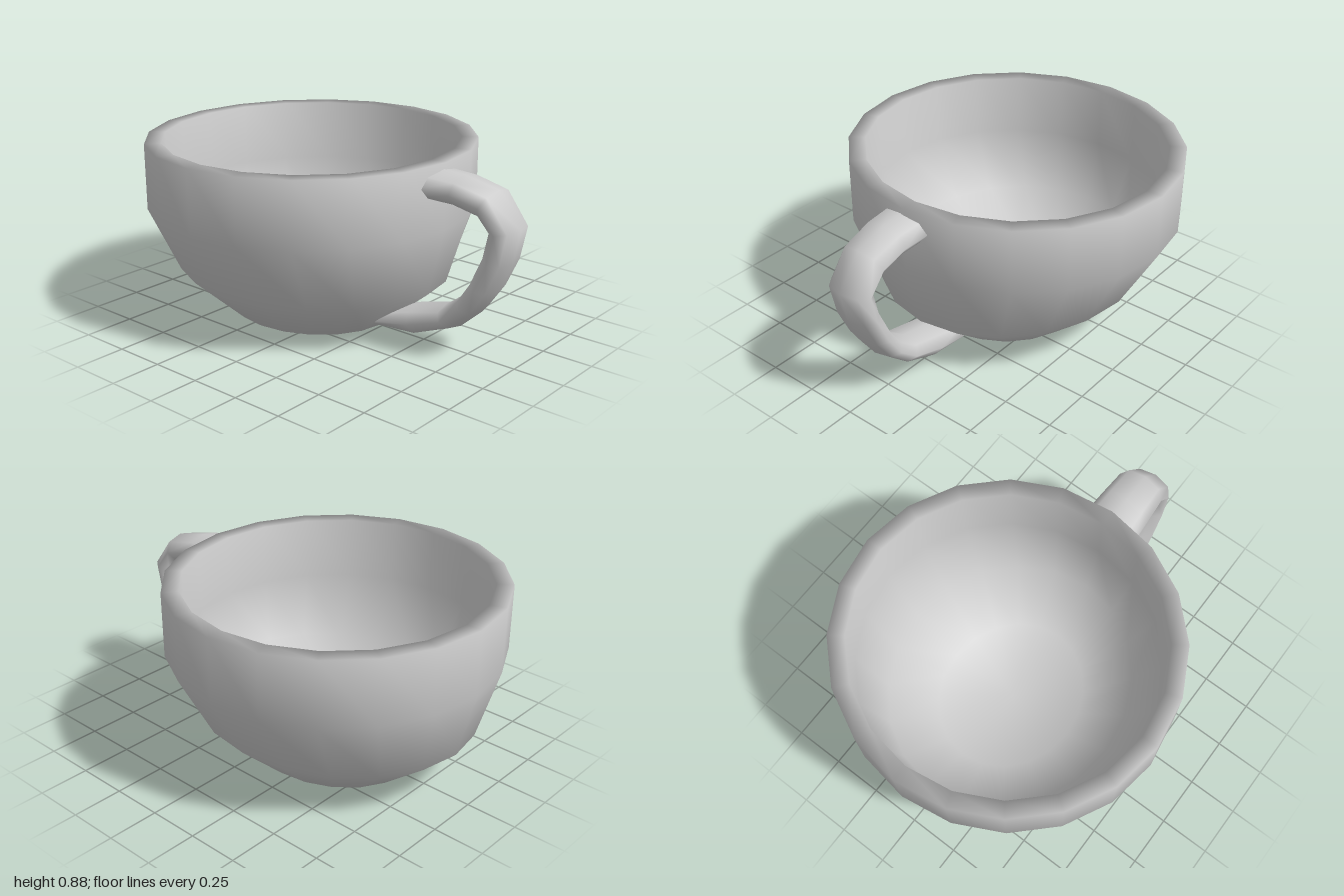
import * as THREE from 'three';
import { mergeVertices } from 'three/addons/utils/BufferGeometryUtils.js';

const material = new THREE.MeshStandardMaterial({ color: 0xcccccc });

// Weld the seam and shade smoothly all over
function smooth(geometry) {
  geometry.deleteAttribute('uv');
  geometry.deleteAttribute('normal');
  const welded = mergeVertices(geometry, 1e-4);
  welded.computeVertexNormals();
  return welded;
}

// Bowl: one turned profile, outside up, over the rim and down the inside
function createBowl() {
  const profile = [
    [0, 0], [0.435, 0], [0.715, 0.23], [0.8, 0.565], [0.8, 0.885],
    [0.72, 0.885], [0.72, 0.58], [0.645, 0.28], [0.4, 0.08], [0, 0.08],
  ].map(([r, y]) => new THREE.Vector2(r, y));
  const geometry = new THREE.LatheGeometry(profile, 20);

  // The lower part is narrower from front to back
  const pos = geometry.attributes.position;
  for (let i = 0; i < pos.count; i++) {
    const t = THREE.MathUtils.clamp((pos.getY(i) - 0.23) / 0.33, 0, 1);
    pos.setZ(i, pos.getZ(i) * THREE.MathUtils.lerp(0.885, 1.022, t));
  }
  const bowl = new THREE.Mesh(smooth(geometry), material);
  bowl.position.x = -0.2;
  bowl.name = 'bowl';
  return bowl;
}

// Handle: broad oval cross-sections spanned between an outer and an inner edge
function createHandle() {
  // outer x, outer y, inner x, inner y, half width, z offset
  const sections = [
    [0.55, 0.858, 0.55, 0.72, 0.14, 0.015],
    [0.71, 0.85, 0.71, 0.715, 0.13, 0.01],
    [0.88, 0.81, 0.82, 0.685, 0.122, 0],
    [1.0, 0.65, 0.87, 0.635, 0.12, 0],
    [0.965, 0.485, 0.845, 0.52, 0.12, 0],
    [0.9, 0.345, 0.785, 0.385, 0.12, 0],
    [0.82, 0.23, 0.72, 0.285, 0.12, 0],
    [0.71, 0.13, 0.625, 0.215, 0.122, 0.005],
    [0.52, 0.05, 0.465, 0.18, 0.125, 0.01],
    [0.27, 0.04, 0.33, 0.13, 0.125, 0.015],
  ];
  const sides = 8;
  const positions = [];
  const indices = [];
  sections.forEach(([ox, oy, ix, iy, width, z], i) => {
    for (let j = 0; j < sides; j++) {
      const angle = (j / sides) * Math.PI * 2;
      const t = (1 - Math.cos(angle)) / 2;
      positions.push(ox + (ix - ox) * t, oy + (iy - oy) * t, z + Math.sin(angle) * width);
      if (i === sections.length - 1) continue;
      const a = i * sides + j;
      const b = i * sides + ((j + 1) % sides);
      indices.push(a, b, a + sides, b, b + sides, a + sides);
    }
  });
  const geometry = new THREE.BufferGeometry();
  geometry.setAttribute('position', new THREE.Float32BufferAttribute(positions, 3));
  geometry.setIndex(indices);
  geometry.computeVertexNormals();
  const handle = new THREE.Mesh(geometry, material);
  handle.name = 'handle';
  return handle;
}

export function createModel() {
  const cup = new THREE.Group();
  cup.name = 'cup';
  cup.add(createBowl(), createHandle());
  return cup;
}
